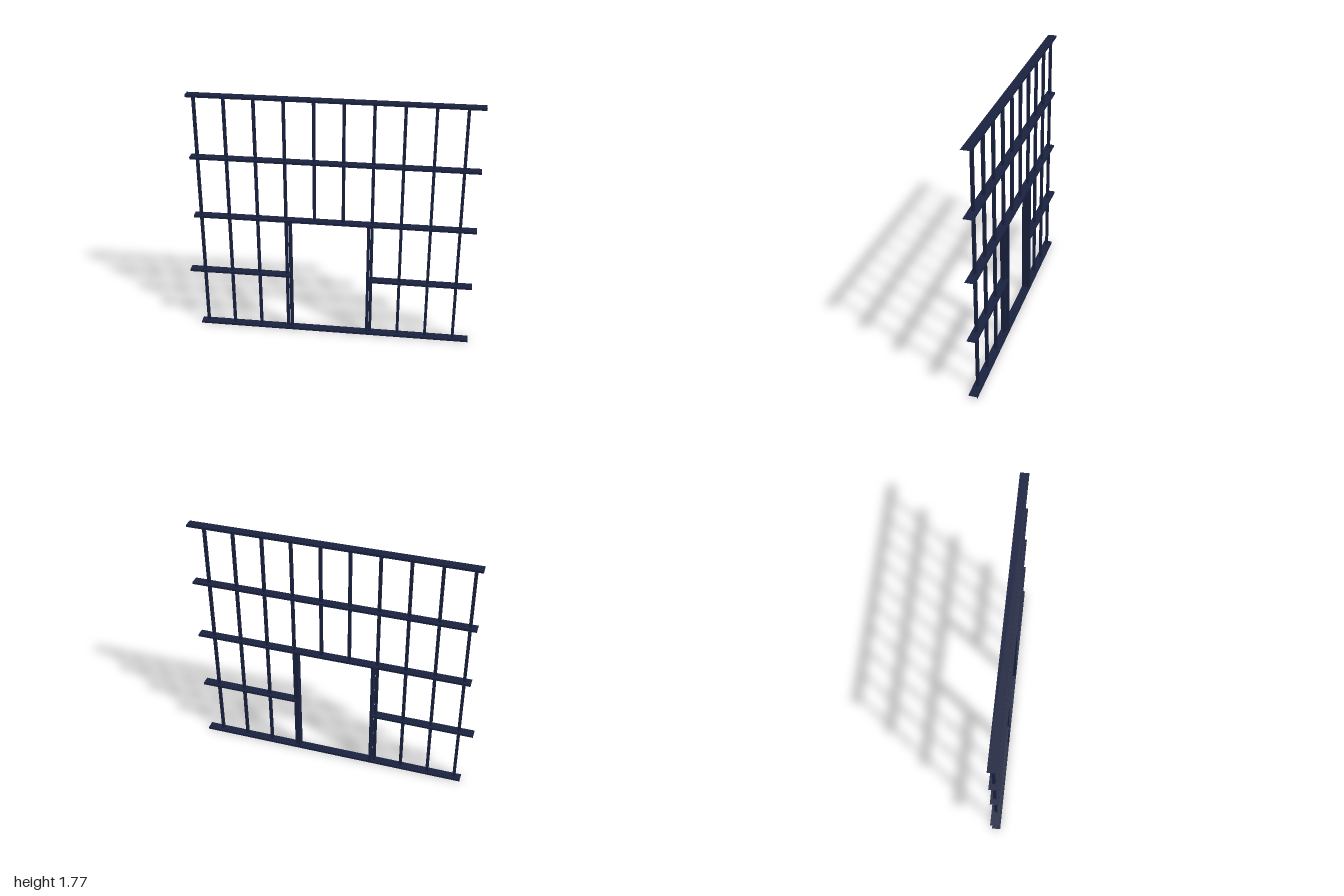
import * as THREE from 'three';

const material = new THREE.MeshStandardMaterial({ color: 0x1a2240 });
const THICK = 0.016; // visible thickness of rails and jambs
const DEPTH = 0.06; // depth of rails and jambs
const POST = 0.02; // square post section
const STEP = 0.4393; // height between rails
const railY = (i) => THICK / 2 + i * STEP;

// Rectangular tube side walls along y, open at both ends
function openBar(width, length, depth) {
  const g = new THREE.CylinderGeometry(Math.SQRT1_2, Math.SQRT1_2, 1, 4, 1, true).toNonIndexed();
  g.rotateY(Math.PI / 4);
  g.scale(width, length, depth);
  g.computeVertexNormals();
  return g;
}

export function createModel() {
  const model = new THREE.Group();
  model.name = 'wallFrame';

  const add = (name, geometry, x, y) => {
    const mesh = new THREE.Mesh(geometry, material);
    mesh.name = name;
    mesh.position.set(x, y, 0);
    model.add(mesh);
  };
  const rail = (name, x0, x1, y) =>
    add(name, openBar(THICK, x1 - x0, DEPTH).rotateZ(Math.PI / 2), (x0 + x1) / 2, y);
  const upright = (name, x, y0, y1, w, d) =>
    add(name, openBar(w, y1 - y0, d), x, (y0 + y1) / 2);

  // Full-width horizontal rails
  for (const i of [0, 2, 3, 4]) rail('rail' + i, -0.943, 1, railY(i));

  // Middle rails, interrupted by the doorway
  rail('middleRailRight', -1, -0.268, railY(1));
  rail('middleRailLeft', 0.268, 1, railY(1));

  // Evenly spaced posts; the two above the doorway start at the lintel
  for (let i = 0; i < 10; i++) {
    const overDoor = i === 4 || i === 5;
    upright('post' + i, -0.895 + i * 0.1983, overDoor ? railY(2) : THICK / 2, railY(4), POST, POST);
  }

  // Deep door jambs
  for (const s of [-1, 1]) {
    upright(s < 0 ? 'doorJambRight' : 'doorJambLeft', s * 0.272, 0, railY(2), THICK, DEPTH);
  }
  return model;
}
